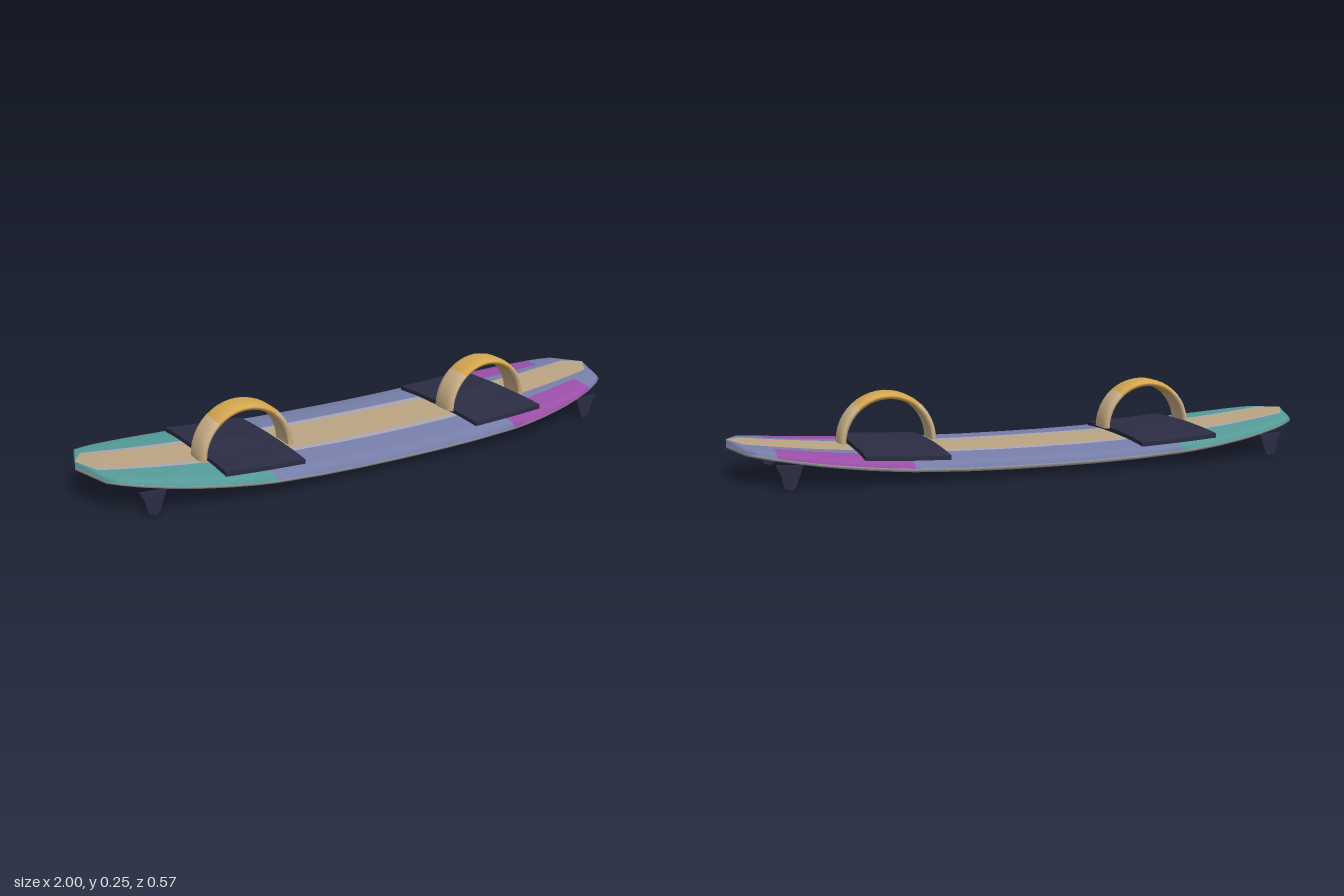
import * as THREE from 'three';

const mat = (name, color) => Object.assign(new THREE.MeshStandardMaterial({ color }), { name });

// Half-outline of the board: [distance from centre, half width]
const OUTLINE = [[0, 0.286], [0.15, 0.286], [0.3, 0.286], [0.46, 0.285], [0.52, 0.28], [0.6, 0.269], [0.68, 0.254],
  [0.74, 0.24], [0.8, 0.222], [0.87, 0.197], [0.92, 0.172], [0.955, 0.148], [1, 0]];

const bottomY = x => 0.02 + 0.085 * Math.abs(x) ** 2.3;
const thickness = x => 0.05 - 0.022 * x * x;
const crown = u => 1 - 0.3 * Math.abs(u) ** 2.5;
const deckY = (x, z) => bottomY(x) + thickness(x) * crown(z / 0.286);

// Half cross-section from deck centre, round the rail, to the base centre: [z, height fraction]
function section(x, w) {
  const s = Math.min(0.1 - 0.035 * x * x, 0.5 * w);
  const b = Math.min(s + 0.028 - 0.014 * x * x, 0.62 * w);
  const m = Math.min(Math.max(b + 0.008, 0.15 - 0.12 * Math.max(0, x - 0.5)), 0.72 * w);
  const top = z => [z, crown(w ? z / w : 0)];
  return [top(0), top(s), top(b), top(m), top((m + 0.92 * w) / 2), top(0.92 * w), [w, 0.45],
    [0.95 * w, 0.15], [0.8 * w, 0], [Math.min(0.11, 0.55 * w), 0], [0, 0]];
}

function makeBoard(M) {
  const stations = [...OUTLINE.slice(1).reverse().map(([x, w]) => [-x, w]), ...OUTLINE];
  const list = [M.tan, M.band, M.teal, M.violet, M.magenta, M.base, M.baseStripe];
  const buckets = list.map(() => []);
  const pos = [];
  for (const [x, w] of stations) {
    const half = section(x, w);
    const ring = [...half, ...half.slice(1, -1).reverse().map(([z, v]) => [-z, v])];
    for (const [z, v] of ring) pos.push(x, bottomY(x) + thickness(x) * v, z);
  }
  // Colour of one cell, by position along the board and round the section
  const pick = (x, k) => {
    if (k === 0) return 0;
    if (k === 9) return 6;
    if (k >= 6) return 5;
    if (k === 1) return x < 0.46 ? 1 : 3;
    if (x < -0.46) return 2;
    return k >= 3 && x > 0.46 && x < 0.87 ? 4 : 3;
  };
  const n = 20;
  for (let i = 0; i < stations.length - 1; i++) {
    const x = (stations[i][0] + stations[i + 1][0]) / 2;
    for (let j = 0; j < n; j++) {
      const a = i * n + j, b = i * n + (j + 1) % n;
      buckets[pick(x, j < 10 ? j : 19 - j)].push(a, b, a + n, b, b + n, a + n);
    }
  }
  const g = new THREE.BufferGeometry();
  g.setAttribute('position', new THREE.Float32BufferAttribute(pos, 3));
  g.setIndex(buckets.flat());
  let start = 0;
  buckets.forEach((f, i) => { g.addGroup(start, f.length, i); start += f.length; });
  g.computeVertexNormals();
  const mesh = new THREE.Mesh(g, list);
  mesh.name = 'board';
  return mesh;
}

// Foot pad bent to follow the deck, with a low ridge under the arch
function makePad(cx, material) {
  const g = new THREE.BoxGeometry(0.276, 1, 0.466, 8, 1, 14);
  const p = g.attributes.position;
  for (let i = 0; i < p.count; i++) {
    const x = p.getX(i) + cx, z = p.getZ(i) - 0.003;
    const ridge = 0.01 * Math.exp(-(((z + 0.02) / 0.05) ** 2) - ((x - cx) / 0.09) ** 2);
    p.setXYZ(i, x, deckY(x, z) + (p.getY(i) > 0 ? 0.014 + ridge : -0.008), z);
  }
  g.computeVertexNormals();
  const mesh = new THREE.Mesh(g, material);
  mesh.name = 'footPad';
  return mesh;
}

// Arched strap: rounded band section swept over a half circle, gold on the crown
function makeStrap(cx, M) {
  const strap = new THREE.Group();
  strap.name = 'footStrap';
  const profile = [[0.143, 0.042], [0.143, -0.042], [0.149, -0.05], [0.155, -0.05], [0.162, -0.04], [0.166, -0.022],
    [0.166, 0.022], [0.162, 0.04], [0.155, 0.05], [0.149, 0.05], [0.143, 0.042]].map(p => new THREE.Vector2(...p));
  const arcs = [['strapSide', 0, 50, M.strap], ['strapCrown', 50, 130, M.gold], ['strapSide', 130, 180, M.strap]];
  for (const [name, a, b, material] of arcs) {
    const rad = Math.PI / 180;
    const g = new THREE.LatheGeometry(profile, Math.round((b - a) / 8), (a + 90) * rad, (b - a) * rad);
    g.rotateX(Math.PI / 2);
    const mesh = new THREE.Mesh(g, material);
    mesh.name = name;
    strap.add(mesh);
  }
  strap.position.set(cx, 0.088, 0.063);
  return strap;
}

// Swept fin under a corner of the board
function makeFin(side, z, material) {
  const pts = [[0.88, 0.08], [0.795, 0.075], [0.808, 0.04], [0.818, 0.01], [0.83, 0], [0.855, 0.006], [0.865, 0.05]];
  const shape = new THREE.Shape(pts.map(([x, y]) => new THREE.Vector2(x * side, y)));
  const g = new THREE.ExtrudeGeometry(shape, { depth: 0.008, bevelEnabled: false });
  g.translate(0, 0, z - 0.004);
  const mesh = new THREE.Mesh(g, material);
  mesh.name = 'fin';
  return mesh;
}

export function createModel() {
  const M = {
    tan: mat('deck tan', 0xbca685), band: mat('pale band', 0xaba8b4), teal: mat('teal', 0x569d9b),
    violet: mat('blue violet', 0x7880ac), magenta: mat('magenta', 0x9c50aa), base: mat('base grey', 0xa0a0a0),
    baseStripe: mat('base stripe', 0xc0a070), navy: mat('dark navy', 0x2c2c44),
    gold: mat('strap gold', 0xd4a650), strap: mat('strap tan', 0xd0b48a),
  };
  const model = new THREE.Group();
  model.name = 'kiteboard';
  model.add(makeBoard(M));
  for (const side of [-1, 1]) {
    model.add(makePad(side * 0.47, M.navy), makeStrap(side * 0.47, M));
    for (const z of [-0.21, 0.21]) model.add(makeFin(side, z, M.navy));
  }
  return model;
}
